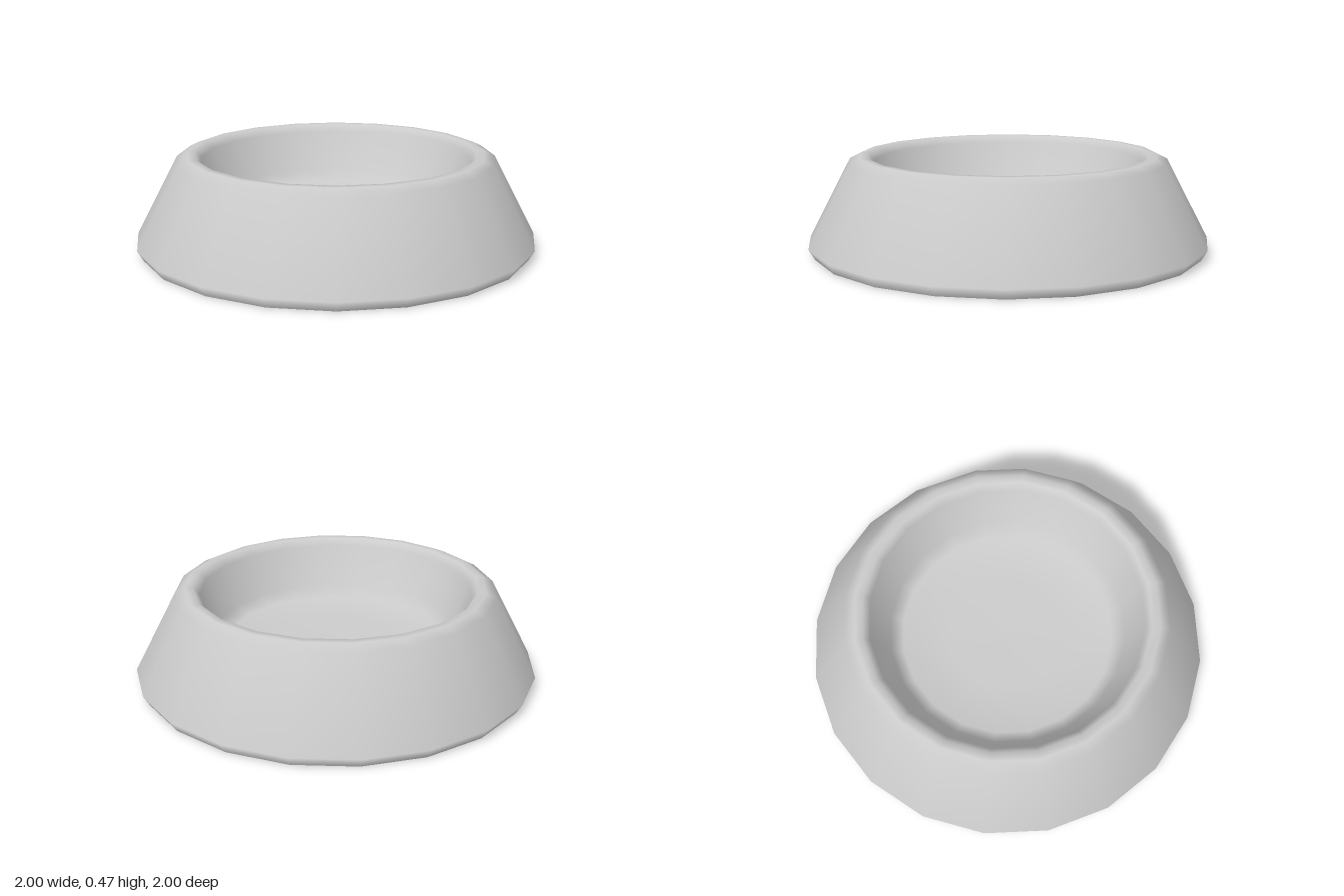
import * as THREE from 'three';

const SIDES = 20;

export function createModel() {
  const group = new THREE.Group();
  group.name = 'bowl';
  const material = new THREE.MeshStandardMaterial({ color: 0xcccccc });

  // Sloped outer wall, rounded rim and dished inside, as one smooth turned profile
  const profile = [
    [0.97, 0], [1, 0.05], [0.79, 0.45], [0.74, 0.475], [0.7, 0.475],
    [0.67, 0.44], [0.59, 0.24], [0.53, 0.19], [0.3, 0.175], [0, 0.17],
  ].map(([r, y]) => new THREE.Vector2(r, y));
  const body = new THREE.Mesh(new THREE.LatheGeometry(profile, SIDES), material);
  body.name = 'bowlBody';
  group.add(body);

  // Flat underside with a sharp edge
  const base = new THREE.Mesh(new THREE.CircleGeometry(0.97, SIDES), material);
  base.name = 'underside';
  base.rotation.x = Math.PI / 2;
  group.add(base);

  return group;
}
